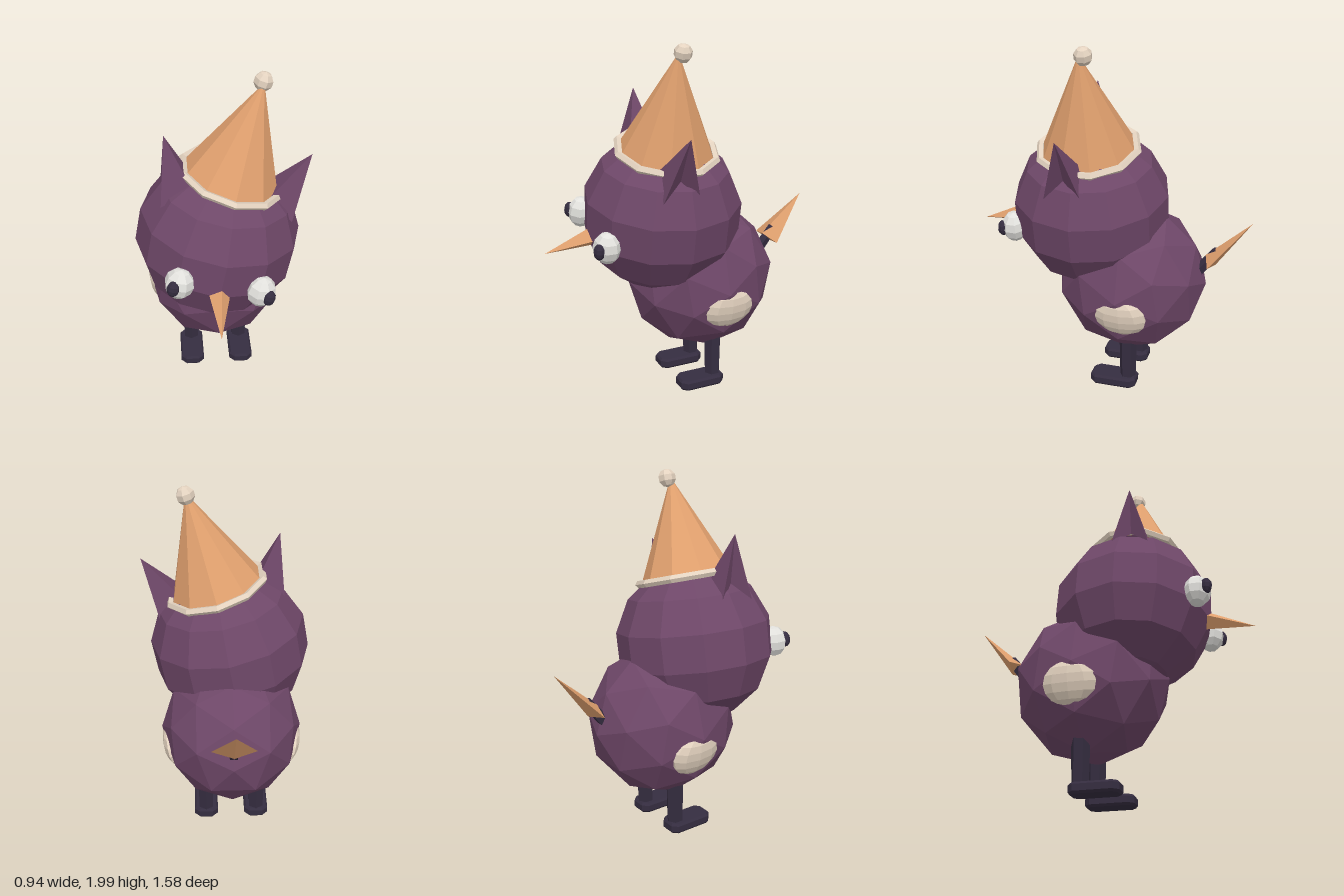
import * as THREE from 'three';

const mat = (color) => new THREE.MeshStandardMaterial({ color, flatShading: true });

export function createModel() {
  const purple = mat(0x6e4768), orange = mat(0xe0a06e), cream = mat(0xe4d3c0);
  const white = mat(0xe2e1dd), dark = mat(0x352d40);
  const model = new THREE.Group();
  model.name = 'hornedCreature';

  const add = (parent, name, geo, material, pos = [0, 0, 0], scale = [1, 1, 1]) => {
    const m = new THREE.Mesh(geo, material);
    m.name = name;
    m.position.set(...pos);
    m.scale.set(...scale);
    parent.add(m);
    return m;
  };
  // Tapered prism running from point a to point b
  const prism = (parent, name, a, b, r0, r1, sides, material, flat = 1) => {
    const A = new THREE.Vector3(...a), B = new THREE.Vector3(...b);
    const dir = B.clone().sub(A), len = dir.length();
    const m = add(parent, name, new THREE.CylinderGeometry(r1, r0, len, sides), material,
      A.clone().add(B).multiplyScalar(0.5).toArray(), [1, 1, flat]);
    m.quaternion.setFromUnitVectors(new THREE.Vector3(0, 1, 0), dir.normalize());
    return m;
  };

  const cx = -0.025; // the body sits slightly off centre

  // Body: coarse geodesic ball leaning back
  const body = add(model, 'body', new THREE.IcosahedronGeometry(0.43, 1), purple,
    [cx, 0.64, -0.12], [0.92, 1, 1]);
  body.rotation.x = 0.553;

  // Head group, rolled towards the creature's left
  const head = new THREE.Group();
  head.name = 'headGroup';
  head.position.set(cx, 1.05, 0.115);
  head.rotation.z = -0.183;
  model.add(head);
  add(head, 'head', new THREE.SphereGeometry(0.45, 12, 7), purple);
  prism(head, 'beak', [0, -0.09, 0.37], [0.005, -0.166, 0.675], 0.066, 0, 4, orange);

  // Pyramid ear with a folded outer face
  const earGeometry = (s) => {
    const tip = [0.387, 0.59, 0.05], front = [0.349, 0.227, 0.155], back = [0.349, 0.227, -0.055];
    const fold = [0.311, 0.327, 0.05], inFront = [0.2, 0.34, 0.13], inBack = [0.2, 0.34, -0.03];
    const ring = [front, fold, back, inBack, inFront];
    const pos = [];
    ring.forEach((p, i) => {
      const q = ring[(i + 1) % ring.length];
      const tri = s > 0 ? [p, q, tip] : [q, p, tip];
      tri.forEach(([x, y, z]) => pos.push(s * x, y, z));
    });
    const g = new THREE.BufferGeometry();
    g.setAttribute('position', new THREE.Float32BufferAttribute(pos, 3));
    g.computeVertexNormals();
    return g;
  };
  const earMat = purple.clone();
  earMat.side = THREE.DoubleSide;

  for (const s of [-1, 1]) {
    const side = s > 0 ? 'left' : 'right';
    add(head, side + 'Ear', earGeometry(s), earMat);
    const eye = add(head, side + 'Eye', new THREE.SphereGeometry(0.083, 8, 6), white,
      [s * 0.216, -0.058, 0.4], [0.97, 1.06, 0.9]);
    eye.rotation.y = s * 0.4;
    add(head, side + 'Pupil', new THREE.SphereGeometry(0.035, 8, 6), dark,
      [s * 0.25, -0.055, 0.455], [1, 1.3, 0.9]);

    // Flank spot, tucked against the lower curve of the body
    const spot = add(model, side + 'Spot', new THREE.SphereGeometry(0.15, 10, 8), cream,
      [cx + s * 0.335, 0.54, -0.14], [0.36, 0.8, 1]);
    spot.rotation.z = -s * 0.25;

    // Leg and chamfered foot
    const lx = cx + s * 0.15;
    prism(model, side + 'Leg', [lx, 0.04, -0.137], [lx, 0.42, -0.137], 0.046, 0.055, 6, dark);
    const w = 0.06, f = 0.07, b = -0.18, c = 0.025;
    const sole = new THREE.Shape([[-w, b + c], [-w + c, b], [w - c, b], [w, b + c],
      [w, f - c], [w - c, f], [-w + c, f], [-w, f - c]].map(([x, y]) => new THREE.Vector2(x, y)));
    const foot = new THREE.ExtrudeGeometry(sole, {
      depth: 0.035, bevelEnabled: true, bevelThickness: 0.0125, bevelSize: 0.01, bevelSegments: 1,
    });
    foot.rotateX(Math.PI / 2);
    add(model, side + 'Foot', foot, dark, [lx, 0.0475, 0]);
  }

  // Party hat, tipped a little further than the head
  const hat = new THREE.Group();
  hat.name = 'hat';
  hat.position.set(0.007, 0.37, 0);
  hat.rotation.z = -0.105;
  head.add(hat);
  add(hat, 'hatCone', new THREE.ConeGeometry(0.265, 0.57, 10), orange, [0, 0.275, 0]);
  const brim = add(hat, 'hatBrim', new THREE.TorusGeometry(0.275, 0.022, 5, 10), cream);
  brim.rotation.set(Math.PI / 2, 0, Math.PI / 2);
  add(hat, 'pompom', new THREE.SphereGeometry(0.051, 7, 5), cream, [0, 0.555, -0.025]);

  // Tail with a flat arrowhead
  prism(model, 'tailStem', [cx, 0.66, -0.46], [cx, 0.85, -0.61], 0.036, 0.03, 5, dark);
  prism(model, 'tailTip', [cx, 0.79, -0.57], [cx, 1.035, -0.792], 0.123, 0, 4, orange, 0.32);

  return model;
}
